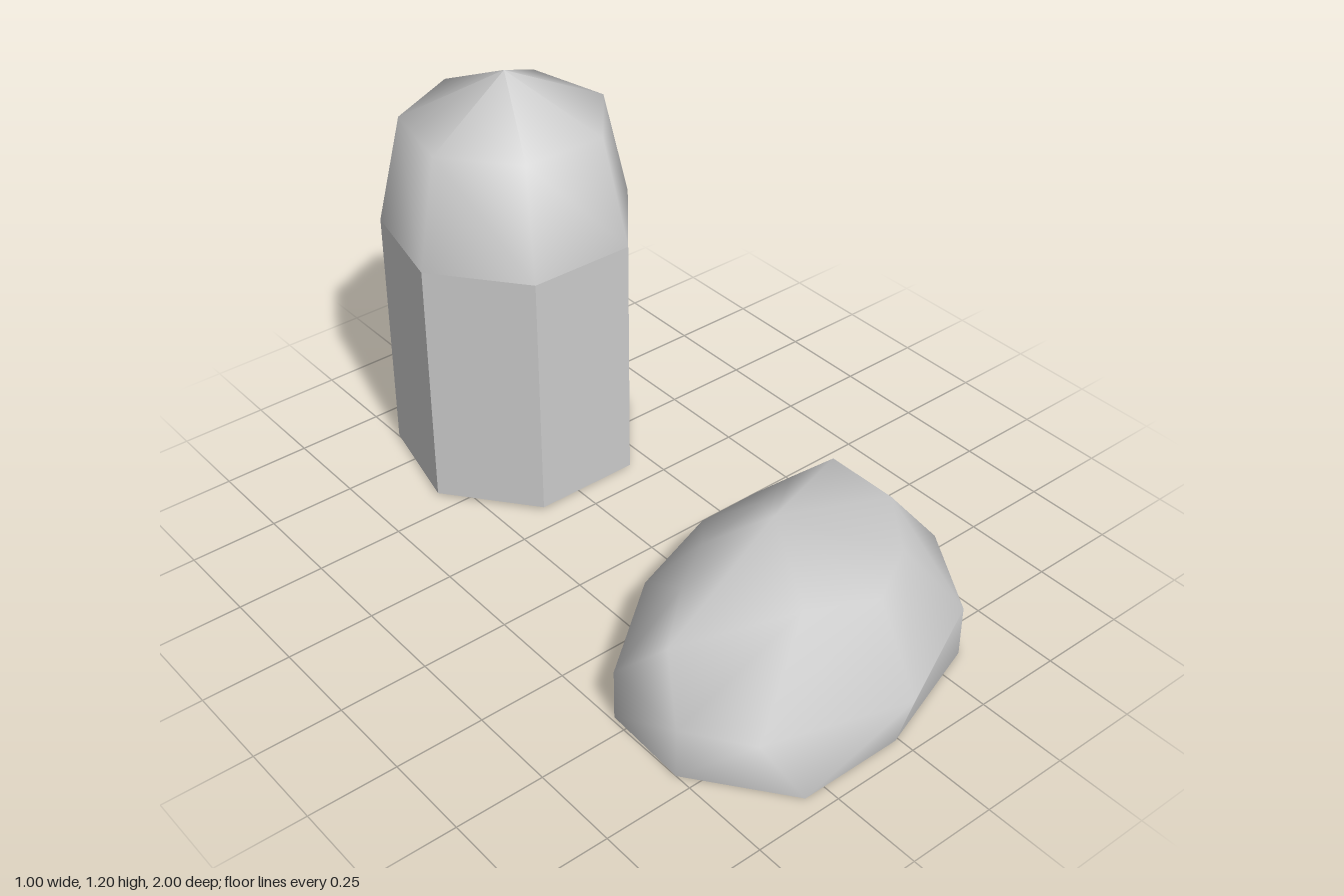
import * as THREE from 'three';

const material = (options = {}) => new THREE.MeshStandardMaterial({ color: 0xcccccc, ...options });

// Seven-sided post with flat sides and a smooth faceted cap
function createPost() {
  const post = new THREE.Group();
  post.name = 'post';
  const sides = 7, radius = 0.358, bottom = 0.01, shoulder = 0.745;

  const shaft = new THREE.Mesh(
    new THREE.CylinderGeometry(radius, radius, shoulder - bottom, sides, 1, false, Math.PI),
    material({ flatShading: true }));
  shaft.name = 'postShaft';
  shaft.position.y = (bottom + shoulder) / 2;

  const profile = [[radius, shoulder], [0.287, 1.06], [0, 1.195]].map(p => new THREE.Vector2(...p));
  const cap = new THREE.Mesh(new THREE.LatheGeometry(profile, sides, Math.PI), material());
  cap.name = 'postCap';

  post.add(shaft, cap);
  post.position.set(0.025, 0, -0.642);
  return post;
}

// Smooth hollow boulder: base, belly and shoulder rings, closed by one crown point
function createBoulder() {
  const belly = [
    [0.06, 0.15, 0.14], [0.25, 0.15, 0.14], [0.495, 0.15, 0.34], [0.495, 0.15, 0.58], [0.34, 0.15, 0.83],
    [-0.01, 0.17, 1.0], [-0.40, 0.17, 0.88], [-0.5, 0.15, 0.70], [-0.49, 0.15, 0.45], [-0.22, 0.15, 0.24],
  ];
  // The base drops straight down except at the undercut front
  const base = belly.map(([x, , z]) => [x, 0, z]);
  base[5] = [-0.01, 0, 0.95];
  base[6] = [-0.31, 0, 0.95];
  const shoulder = [
    [0.10, 0.30, 0.32], [0.25, 0.29, 0.28], [0.36, 0.32, 0.32], [0.40, 0.28, 0.50], [0.24, 0.31, 0.70],
    [0.04, 0.345, 0.82], [-0.18, 0.40, 0.78], [-0.445, 0.305, 0.60], [-0.30, 0.335, 0.48], [-0.14, 0.32, 0.37],
  ];
  const crown = [0.02, 0.385, 0.46];
  const rings = [base, belly, shoulder], n = belly.length;

  const index = [];
  for (let i = 0; i < n; i++) {
    const j = (i + 1) % n;
    for (let r = 0; r < rings.length - 1; r++) {
      const a = r * n + i, b = r * n + j;
      index.push(a, a + n, b, b, a + n, b + n);
    }
    index.push(2 * n + i, 3 * n, 2 * n + j);
  }

  const geometry = new THREE.BufferGeometry();
  geometry.setAttribute('position', new THREE.Float32BufferAttribute([...rings.flat(), crown].flat(), 3));
  geometry.setIndex(index);
  geometry.computeVertexNormals();
  const boulder = new THREE.Mesh(geometry, material({ side: THREE.DoubleSide }));
  boulder.name = 'boulder';
  return boulder;
}

export function createModel() {
  const model = new THREE.Group();
  model.name = 'postAndBoulder';
  model.add(createPost(), createBoulder());
  return model;
}
